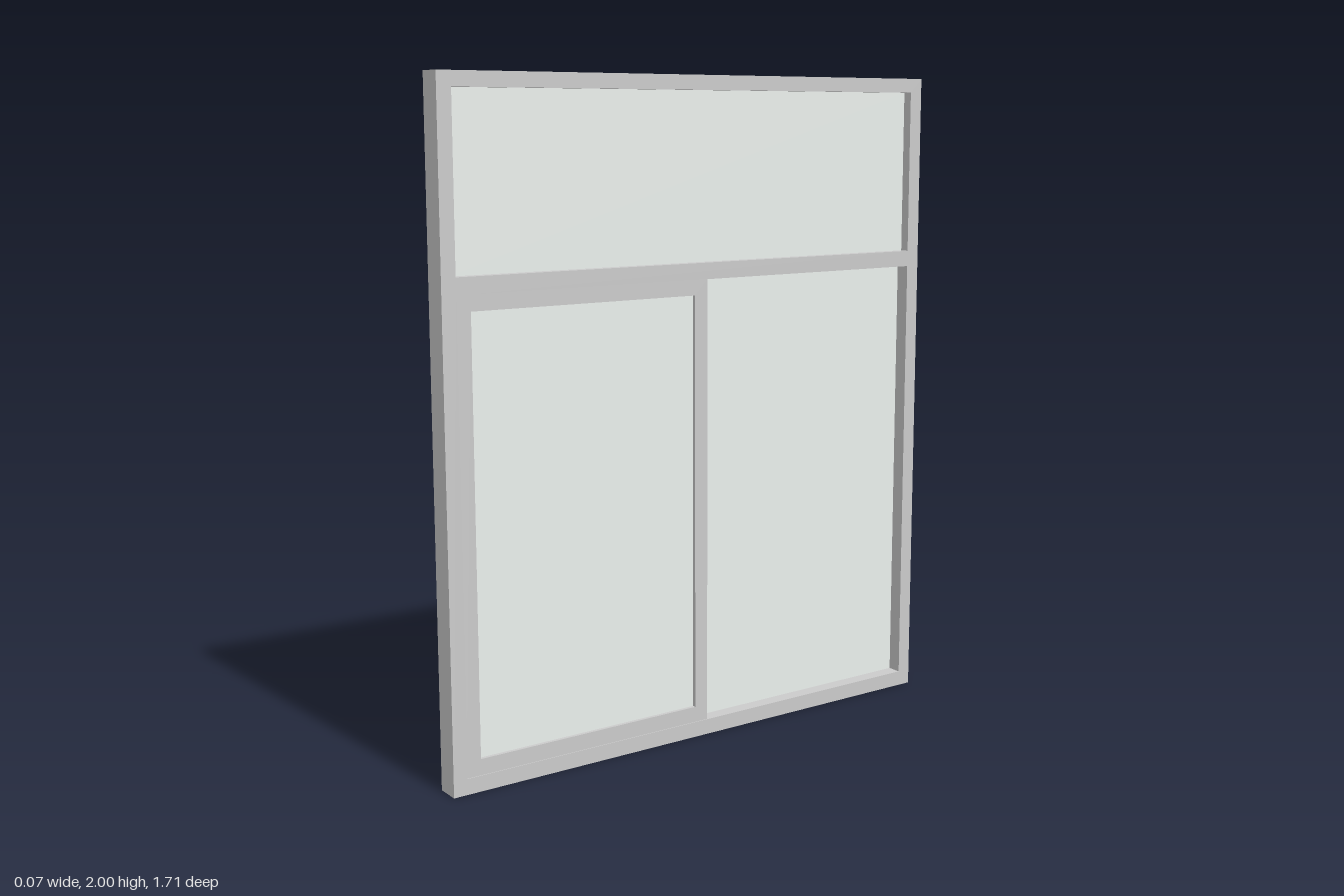
import * as THREE from 'three';

const HALF_W = 0.857, HALF_D = 0.037;
const IN = 0.813;             // inner half width of the outer frame
const SILL = 0.047, RAIL_LOW = 1.408, RAIL_HIGH = 1.457, HEAD = 1.957;

const grey = new THREE.MeshStandardMaterial({ color: 0xcccccc });
const glass = new THREE.MeshStandardMaterial({ color: 0xebf0ed });

// Rectangle given as [z0, y0, z1, y1]; the shape's x axis becomes -z
function trace(target, [z0, y0, z1, y1]) {
  target.moveTo(-z1, y0);
  target.lineTo(-z0, y0);
  target.lineTo(-z0, y1);
  target.lineTo(-z1, y1);
  target.closePath();
  return target;
}

// Flat panel in the window plane, between depths x0 and x1, with rectangular holes
function panel(name, rect, holes, x0, x1, material) {
  const shape = trace(new THREE.Shape(), rect);
  for (const hole of holes) shape.holes.push(trace(new THREE.Path(), hole));
  const geometry = new THREE.ExtrudeGeometry(shape, { depth: x1 - x0, bevelEnabled: false });
  geometry.rotateY(Math.PI / 2);
  geometry.translate(x0, 0, 0);
  const mesh = new THREE.Mesh(geometry, material);
  mesh.name = name;
  return mesh;
}

export function createModel() {
  const group = new THREE.Group();
  group.name = 'slidingWindow';

  const transom = [-IN, RAIL_HIGH, IN, HEAD];
  const lower = [-IN, SILL, IN, RAIL_LOW];
  const sashOuter = [-0.02, SILL, IN, RAIL_LOW];
  const sashPane = [0.025, 0.095, 0.768, 1.362];
  const fixedPane = [-IN, SILL, -0.02, RAIL_LOW];

  // Outer frame with the horizontal rail
  group.add(panel('outerFrame', [-HALF_W, 0, HALF_W, 2], [transom, lower], -HALF_D, HALF_D, grey));

  // Upright between the two lower panes
  group.add(panel('mullion', [-0.02, SILL, 0.025, RAIL_LOW], [], -0.034, 0.002, grey));

  // Sliding sash on the outer track
  group.add(panel('slidingSash', sashOuter, [sashPane], 0.002, 0.034, grey));

  // Panes
  group.add(panel('transomGlass', transom, [], -0.007, 0.007, glass));
  group.add(panel('fixedGlass', fixedPane, [], -0.022, -0.008, glass));
  group.add(panel('sashGlass', sashPane, [], 0.011, 0.023, glass));

  return group;
}
